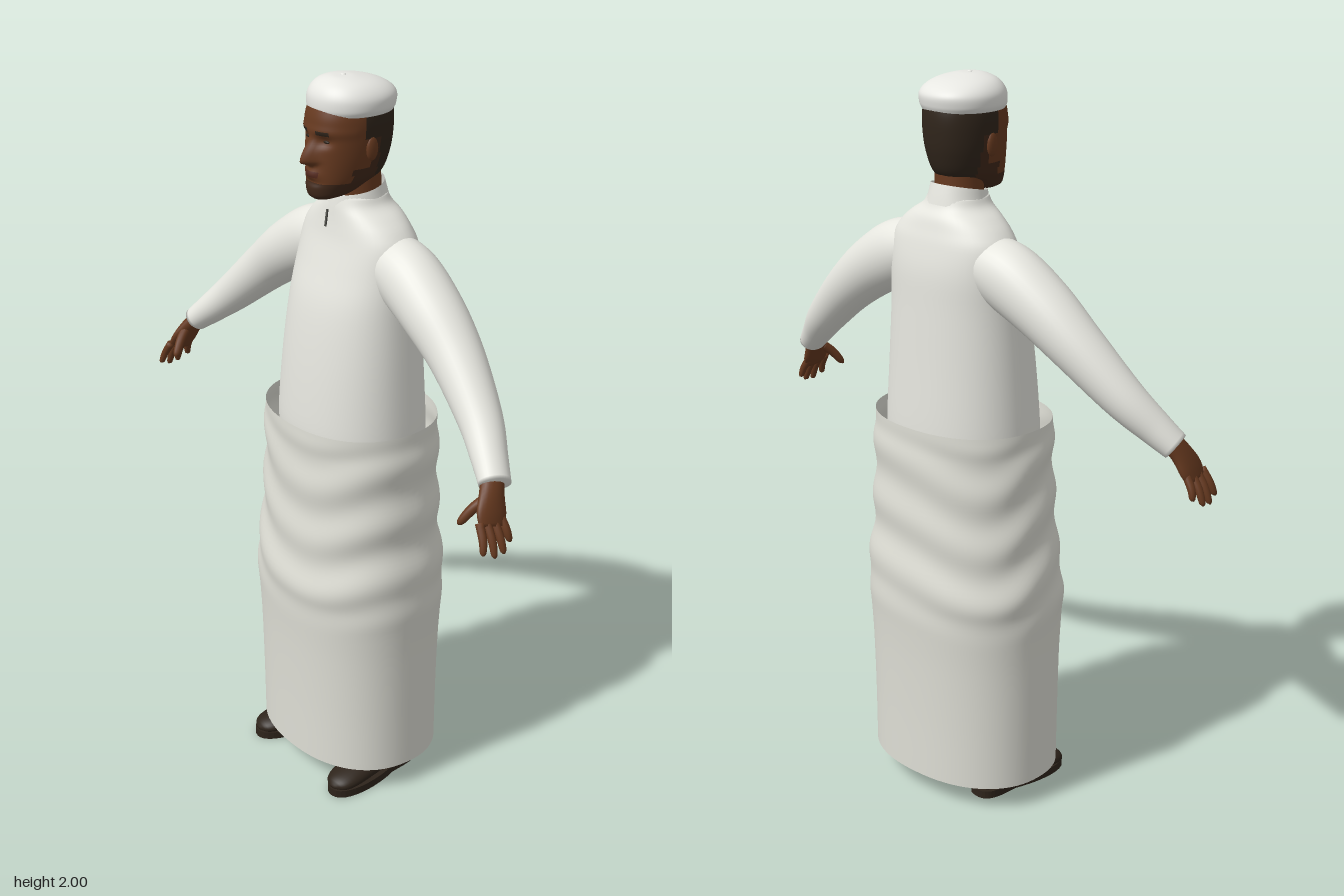
import * as THREE from 'three';

const mat = (name, color, side = THREE.FrontSide) => {
  const m = new THREE.MeshStandardMaterial({ color, side });
  m.name = name;
  return m;
};
const smooth = THREE.MathUtils.smoothstep;
const bump = (d, w) => Math.exp(-(d * d) / (w * w));

// Smooth skin through sections [x, y, z, radius along ref, radius across].
// flat: sections stay level; e: superellipse exponent; warp(v, angle) moves a vertex;
// pick(centre) chooses a material index for each quad.
function loft(rows, { rings = 24, seg = 32, flat = false, e = 2, ref = [0, 0, 1], caps = true, warp, pick } = {}) {
  const path = new THREE.CatmullRomCurve3(rows.map(r => new THREE.Vector3(r[0], r[1], r[2])), false, 'catmullrom', 0.5);
  const radii = new THREE.CatmullRomCurve3(rows.map(r => new THREE.Vector3(r[3], r[4], 0)), false, 'catmullrom', 0.5);
  const pts = [], lists = [[], [], [], []];
  const pw = s => Math.sign(s) * Math.pow(Math.abs(s), 2 / e);
  for (let i = 0; i <= rings; i++) {
    const c = path.getPoint(i / rings), r = radii.getPoint(i / rings);
    const t = flat ? new THREE.Vector3(0, 1, 0) : path.getTangent(i / rings);
    const u = new THREE.Vector3(...ref);
    u.addScaledVector(t, -u.dot(t)).normalize();
    const v = new THREE.Vector3().crossVectors(t, u);
    for (let j = 0; j < seg; j++) {
      const a = (j / seg) * Math.PI * 2;
      const p = c.clone().addScaledVector(u, r.x * pw(Math.cos(a))).addScaledVector(v, r.y * pw(Math.sin(a)));
      if (warp) warp(p, a);
      pts.push(p);
    }
  }
  for (let i = 0; i < rings; i++) for (let j = 0; j < seg; j++) {
    const k = (j + 1) % seg, a = i * seg + j, b = i * seg + k, c = b + seg, d = a + seg;
    const mid = pts[a].clone().add(pts[c]).multiplyScalar(0.5);
    lists[pick ? pick(mid) : 0].push(a, b, c, a, c, d);
  }
  if (caps) for (const start of [0, rings * seg]) {
    const centre = new THREE.Vector3();
    for (let j = 0; j < seg; j++) centre.addScaledVector(pts[start + j], 1 / seg);
    const ci = pts.push(centre) - 1;
    for (let j = 0; j < seg; j++) {
      const a = start + j, b = start + (j + 1) % seg;
      lists[0].push(ci, ...(start ? [a, b] : [b, a]));
    }
  }
  const g = new THREE.BufferGeometry().setFromPoints(pts);
  g.setIndex(lists.flat());
  let at = 0;
  if (pick) lists.forEach((l, m) => { g.addGroup(at, l.length, m); at += l.length; });
  g.computeVertexNormals();
  return g;
}
// Level sections given as [y, half width, front z, back z].
const body = (rows, opt) =>
  loft(rows.map(([y, w, f, b]) => [0, y, (f + b) / 2, (f - b) / 2, w]), { flat: true, ...opt });

export function createModel() {
  const model = new THREE.Group();
  model.name = 'robedMan';
  const shirt = mat('shirtWhite', 0xe6e6df, THREE.DoubleSide);
  const cloth = mat('wrapWhite', 0xdfdfd6, THREE.DoubleSide);
  const capWhite = mat('capWhite', 0xeaeae5);
  const skin = mat('skin', 0x66391f);
  const hair = mat('hair', 0x30251b);
  const beard = mat('beard', 0x40281a);
  const lip = mat('lips', 0x54291d);
  const shoe = mat('shoeBrown', 0x2e241b);
  const dark = mat('slitGrey', 0x55554f);
  const add = (name, geo, material, parent = model) => {
    const m = new THREE.Mesh(geo, material);
    m.name = name;
    parent.add(m);
    return m;
  };

  // Shirt body, collar and neck slit
  add('shirtBody', body([
    [1.02, 0.222, 0.17, -0.175], [1.09, 0.22, 0.17, -0.175], [1.25, 0.21, 0.155, -0.167],
    [1.4, 0.2, 0.132, -0.16], [1.5, 0.197, 0.102, -0.155], [1.57, 0.19, 0.08, -0.142],
    [1.61, 0.165, 0.071, -0.13], [1.64, 0.13, 0.066, -0.12], [1.665, 0.092, 0.062, -0.105],
    [1.69, 0.076, 0.055, -0.095]], { rings: 40, seg: 48, e: 2.2 }), shirt);
  add('collar', body([[1.655, 0.088, 0.067, -0.104], [1.68, 0.08, 0.063, -0.098], [1.71, 0.074, 0.057, -0.09]],
    { rings: 6, seg: 40, caps: false, warp: v => { v.y -= (v.z + 0.02) * 0.2; } }), shirt);
  const slit = add('neckSlit', new THREE.BoxGeometry(0.005, 0.045, 0.008), dark);
  slit.position.set(-0.012, 1.628, 0.068);
  slit.rotation.x = -0.15;

  // Wrapped skirt with soft horizontal folds
  add('wrapSkirt', loft([
    [-0.009, 0.07, 0, 0.21, 0.275], [-0.009, 0.25, 0, 0.212, 0.276], [-0.008, 0.42, 0, 0.217, 0.278],
    [-0.007, 0.56, 0, 0.225, 0.284], [-0.006, 0.63, 0, 0.226, 0.284], [-0.004, 0.74, 0, 0.215, 0.268],
    [-0.002, 0.84, 0, 0.21, 0.262], [0, 0.95, 0, 0.206, 0.256], [0, 1.02, 0, 0.206, 0.255], [0, 1.09, 0, 0.205, 0.25]],
    { rings: 70, seg: 80, flat: true, e: 2.25, caps: false, warp: (v, a) => {
      const amp = 0.02 * smooth(v.y, 0.5, 0.64) * (1 - smooth(v.y, 1.02, 1.09));
      const k = 1 + amp * Math.sin(v.y * 40 + 1.6 * Math.sin(2 * a + 0.5) + Math.cos(3 * a));
      v.x *= k;
      v.z *= k;
    } }), cloth);

  // Neck
  add('neck', body([[1.64, 0.066, 0.045, -0.085], [1.71, 0.064, 0.048, -0.082], [1.78, 0.062, 0.05, -0.08]],
    { rings: 6 }), skin);

  // Head with modelled face; hair, beard and lips are separate faces
  add('head', body([
    [1.692, 0.026, 0.115, 0.045], [1.702, 0.046, 0.126, 0.01], [1.722, 0.061, 0.13, -0.045],
    [1.75, 0.076, 0.127, -0.085], [1.8, 0.089, 0.124, -0.104], [1.85, 0.096, 0.122, -0.111],
    [1.9, 0.098, 0.12, -0.111], [1.95, 0.09, 0.1, -0.1]], {
    rings: 64, seg: 80, e: 2.15,
    warp: v => {
      if (v.z < 0.04) return;
      const x = Math.abs(v.x), nose = smooth(v.y, 1.776, 1.795) * (1 - smooth(v.y, 1.795, 1.872));
      v.z += 0.036 * nose * bump(x, 0.009 + 0.01 * nose);
      v.z -= 0.011 * bump(x - 0.036, 0.02) * bump(v.y - 1.846, 0.014);
      v.z += 0.004 * bump(v.y - 1.87, 0.012) + 0.008 * bump(x, 0.025) * bump(v.y - 1.76, 0.012);
      v.z -= 0.005 * bump(x, 0.03) * bump(v.y - 1.738, 0.008);
    },
    pick: c => {
      const x = Math.abs(c.x);
      if (c.z < -0.025 || (c.z < 0.022 && c.y > 1.85)) return 1;
      if (c.z > 0.06 && x > 0.016 && x < 0.056 && Math.abs(c.y - 1.869) < 0.0045) return 1;
      if (c.z > 0.06 && x < 0.025 && Math.abs(c.y - 1.759) < 0.007) return 3;
      if (c.y < 1.738 || (c.z < 0.05 && c.y < 1.775) || c.z < 0.005) return 2;
      return 0;
    } }), [skin, hair, beard, lip]);
  for (const s of [1, -1]) {
    const eye = add('eye', new THREE.SphereGeometry(1, 16, 10), hair);
    eye.scale.set(0.012, 0.0045, 0.005);
    eye.position.set(s * 0.036, 1.846, 0.104);
    const ear = add('ear', new THREE.SphereGeometry(1, 16, 12), skin);
    ear.scale.set(0.009, 0.031, 0.018);
    ear.position.set(s * 0.094, 1.825, 0.005);
  }

  // Cap, sloping down to the back, with a small button
  add('cap', body([
    [1.91, 0.103, 0.108, -0.108], [1.925, 0.109, 0.112, -0.114], [1.95, 0.108, 0.11, -0.115],
    [1.97, 0.095, 0.1, -0.095], [1.985, 0.072, 0.083, -0.058], [1.995, 0.036, 0.058, -0.008],
    [1.997, 0.004, 0.028, 0.02]], { rings: 36, seg: 48, e: 2.1 }), capWhite);
  const button = add('capButton', new THREE.SphereGeometry(0.007, 12, 8), capWhite);
  button.scale.y = 0.5;
  button.position.set(0, 1.9965, 0.024);

  for (const s of [1, -1]) {
    const side = s > 0 ? 'left' : 'right';
    const limb = (name, rows, material, opt) =>
      add(side + name, loft(rows.map(([x, ...r]) => [x * s, ...r]), opt), material);

    // Sleeve and cuff
    limb('Sleeve', [
      [0.09, 1.535, -0.035, 0.078, 0.072], [0.19, 1.505, -0.036, 0.085, 0.09], [0.3, 1.443, -0.03, 0.083, 0.083],
      [0.41, 1.36, -0.02, 0.072, 0.07], [0.535, 1.25, 0.008, 0.058, 0.055], [0.615, 1.178, 0.042, 0.047, 0.043],
      [0.662, 1.136, 0.064, 0.042, 0.035]], shirt, { rings: 40 });

    // Hand
    limb('Palm', [[0.645, 1.152, 0.058, 0.031, 0.025], [0.667, 1.118, 0.078, 0.035, 0.021],
      [0.686, 1.08, 0.094, 0.043, 0.017], [0.7, 1.05, 0.103, 0.038, 0.011]], skin, { rings: 12, seg: 20 });
    const tips = [[0.72, 1.005, 0.064], [0.731, 0.988, 0.092], [0.731, 0.985, 0.12], [0.724, 0.997, 0.15]];
    tips.forEach(([x, y, z], i) => {
      const b = [0.692, 1.066, 0.071 + 0.022 * i];
      limb('Finger', [[...b, 0.011, 0.011], [(b[0] + x) / 2 + 0.006, (b[1] + y) / 2, (b[2] + z) / 2, 0.0105, 0.0105],
        [x, y + 0.006, z, 0.008, 0.008], [x, y, z, 0.002, 0.002]], skin, { rings: 12, seg: 12 });
    });
    limb('Thumb', [[0.667, 1.11, 0.1, 0.014, 0.014], [0.653, 1.085, 0.128, 0.013, 0.013],
      [0.64, 1.055, 0.15, 0.01, 0.01], [0.635, 1.045, 0.156, 0.002, 0.002]], skin, { rings: 12, seg: 12 });

    // Leg
    limb('Leg', [[0.15, 0.06, -0.05, 0.036, 0.034], [0.147, 0.15, -0.05, 0.038, 0.036], [0.14, 0.32, -0.055, 0.055, 0.052],
      [0.13, 0.5, -0.03, 0.055, 0.053], [0.115, 0.75, -0.02, 0.075, 0.075], [0.1, 1.04, -0.01, 0.09, 0.09]], skin);

    // Shoe: sole, upper and ankle shaft, toes turned out
    const foot = new THREE.Group();
    foot.name = side + 'Shoe';
    foot.position.set(s * 0.15, 0, -0.05);
    foot.rotation.y = s * 0.13;
    model.add(foot);
    const outline = new THREE.Shape();
    outline.moveTo(0, 0.055);
    outline.bezierCurveTo(0.055, 0.055, 0.045, 0.0, 0.045, -0.06);
    outline.bezierCurveTo(0.065, -0.14, 0.06, -0.262, 0.005, -0.262);
    outline.bezierCurveTo(-0.06, -0.262, -0.06, -0.14, -0.042, -0.06);
    outline.bezierCurveTo(-0.045, 0.0, -0.055, 0.055, 0, 0.055);
    const sole = add('sole', new THREE.ExtrudeGeometry(outline, { depth: 0.022, bevelEnabled: false, curveSegments: 12 }), shoe, foot);
    sole.rotation.x = -Math.PI / 2;
    add('upper', loft([[0, 0.045, -0.05, 0.01, 0.015], [0, 0.05, -0.035, 0.04, 0.038], [0, 0.052, 0.03, 0.045, 0.042],
      [0, 0.043, 0.12, 0.034, 0.049], [0, 0.034, 0.2, 0.026, 0.049], [0, 0.028, 0.24, 0.018, 0.036],
      [0, 0.025, 0.257, 0.004, 0.01]], { ref: [0, 1, 0] }), shoe, foot);
    add('ankleShaft', loft([[0, 0.05, 0, 0.048, 0.04], [0, 0.09, 0, 0.043, 0.04], [0, 0.13, 0, 0.043, 0.041]],
      { rings: 8, seg: 24 }), shoe, foot);
  }
  return model;
}
